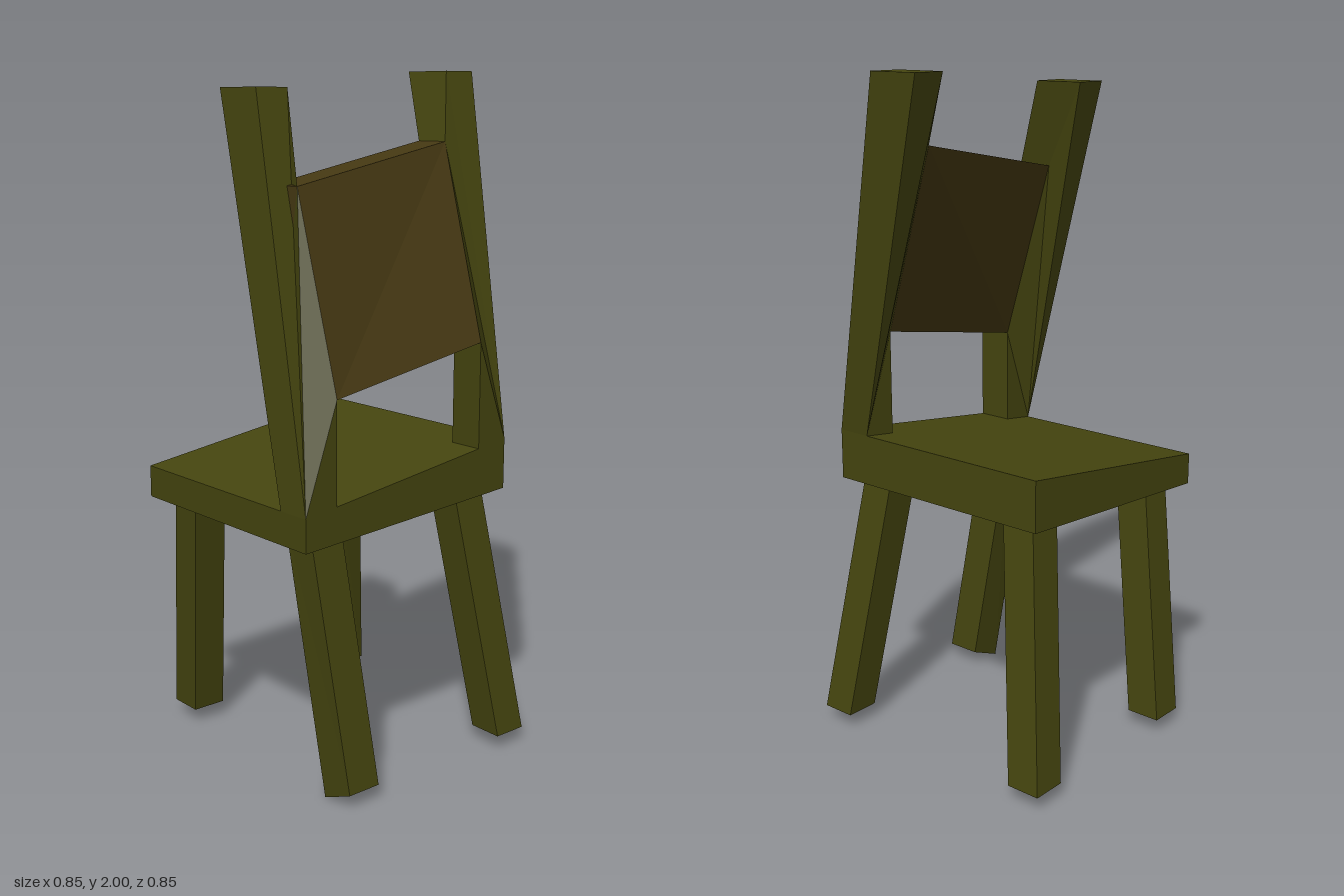
import * as THREE from 'three';

// Solid between two matching loops; loop a is counter-clockwise seen from its outer side.
function prism(name, a, b, material) {
  const pos = [];
  const tri = (...pts) => pts.forEach((p) => pos.push(...p));
  const n = a.length;
  for (let i = 1; i < n - 1; i++) {
    tri(a[0], a[i], a[i + 1]);
    tri(b[0], b[i + 1], b[i]);
  }
  for (let i = 0; i < n; i++) {
    const j = (i + 1) % n;
    tri(a[i], b[i], b[j]);
    tri(a[i], b[j], a[j]);
  }
  const geo = new THREE.BufferGeometry();
  geo.setAttribute('position', new THREE.Float32BufferAttribute(pos, 3));
  geo.computeVertexNormals();
  const mesh = new THREE.Mesh(geo, material);
  mesh.name = name;
  return mesh;
}

// Points given as [x, y, front z, back z]
const depthPrism = (name, pts, material) => prism(
  name,
  pts.map(([x, y, f]) => [x, y, f]),
  pts.map(([x, y, , k]) => [x, y, k]),
  material
);

export function createModel() {
  const chair = new THREE.Group();
  chair.name = 'chair';
  const wood = new THREE.MeshStandardMaterial({ color: 0x45450f, flatShading: true });
  const panelWood = new THREE.MeshStandardMaterial({ color: 0x453812, flatShading: true });

  // Crooked seat: top and underside both rise towards +x
  const X0 = -0.427, X1 = 0.32, Z = 0.372, rim = 0.053, recess = 0.05;
  const topY = (x) => 0.845 + 0.105 * (x - X0) / (X1 - X0);
  const lowY = (x) => 0.75 + 0.05 * (x - X0) / (X1 - X0);
  const slab = (name, x0, x1, z0, z1, low, high) => depthPrism(name, [
    [x0, low(x0), z1, z0], [x1, low(x1), z1, z0],
    [x1, high(x1), z1, z0], [x0, high(x0), z1, z0],
  ], wood);
  const ceiling = (x) => lowY(x) + recess;
  const seat = new THREE.Group();
  seat.name = 'seat';
  seat.add(
    slab('seatTop', X0, X1, -Z, Z, ceiling, topY),
    slab('rimFront', X0, X1, Z - rim, Z, lowY, ceiling),
    slab('rimBack', X0, X1, -Z, rim - Z, lowY, ceiling),
    slab('rimRight', X0, X0 + rim, rim - Z, Z - rim, lowY, ceiling),
    slab('rimLeft', X1 - rim, X1, rim - Z, Z - rim, lowY, ceiling)
  );
  chair.add(seat);

  // Splayed legs, one of them with a longer corner
  const w = 0.106;
  const square = (x, z, y) =>
    [[x, z + w], [x + w, z + w], [x + w, z], [x, z]].map(([px, pz]) => [px, y(px), pz]);
  for (const [side, xTop, xLow] of [['Right', -0.373, -0.32], ['Left', 0.161, 0.266]]) {
    for (const [end, zTop, zLow] of [['front', 0.213, 0.32], ['back', -0.319, -0.426]]) {
      const foot = square(xLow, zLow, () => 0.045);
      if (side === 'Right' && end === 'front') foot[3][1] = 0;
      chair.add(prism(end + 'Leg' + side, square(xTop, zTop, ceiling), foot, wood));
    }
  }

  // Leaning uprights, bent on the inner edge where the panel joins
  chair.add(depthPrism('uprightLeft', [
    [0.32, 0.95, 0.372, 0.265], [0.425, 2, 0.105, -0.055], [0.32, 2, 0.105, -0.055],
    [0.266, 1.8, 0.16, 0.05], [0.213, 1.245, 0.372, 0.265], [0.213, 0.935, 0.372, 0.265],
  ], wood));
  chair.add(depthPrism('uprightRight', [
    [X0, 0.845, 0.372, 0.265], [-0.32, 0.86, 0.372, 0.265], [-0.32, 1.15, 0.372, 0.265],
    [-0.32, 1.695, 0.21, 0.1], [-0.268, 1.95, 0.105, -0.055], [-0.373, 1.95, 0.105, -0.055],
  ], wood));

  // Back panel
  chair.add(depthPrism('backPanel', [
    [-0.32, 1.15, 0.372, 0.265], [0.213, 1.245, 0.372, 0.265],
    [0.266, 1.8, 0.16, 0.05], [-0.32, 1.695, 0.21, 0.1],
  ], panelWood));

  return chair;
}
